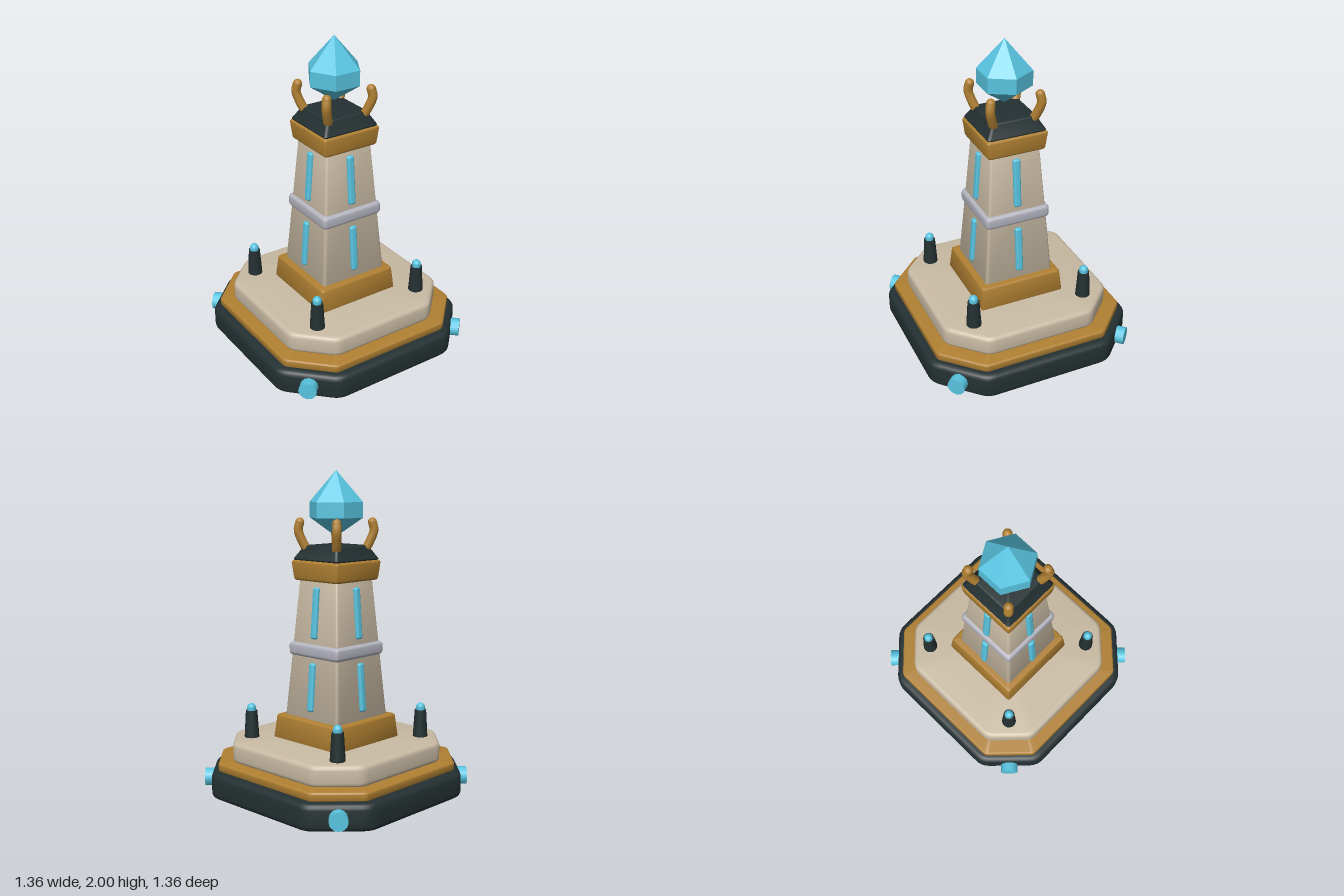
import * as THREE from 'three';
import { toCreasedNormals } from 'three/addons/utils/BufferGeometryUtils.js';
import { RoundedBoxGeometry } from 'three/addons/geometries/RoundedBoxGeometry.js';

const mat = (name, color, side = THREE.FrontSide) =>
  Object.assign(new THREE.MeshStandardMaterial({ color, side }), { name });

// Square (chamfer 0) or octagonal outline with softened corners
function outline(half, chamfer, soft) {
  const f = half - chamfer;
  const quarter = chamfer > 0 ? [[half, f], [f, half]] : [[half, half]];
  const corners = [];
  for (let q = 0; q < 4; q++) {
    for (const [x, z] of quarter) {
      corners.push([new THREE.Vector2(x, z), new THREE.Vector2(-z, x),
        new THREE.Vector2(-x, -z), new THREE.Vector2(z, -x)][q]);
    }
  }
  const n = corners.length, pts = [];
  corners.forEach((p, i) => {
    const toward = (o) => o.clone().sub(p).setLength(soft).add(p);
    const curve = new THREE.QuadraticBezierCurve(
      toward(corners[(i + n - 1) % n]), p, toward(corners[(i + 1) % n]));
    pts.push(...curve.getPoints(4));
  });
  return pts;
}

// Tier lofted from bottom to top with rounded upper and lower edges
function tier({ bottom, top = bottom, y0, y1, round, chamfer = 0, soft = 0.02, open = false }) {
  const layers = [], steps = 4;
  for (let k = 0; k <= steps; k++) {
    const a = (k / steps) * Math.PI / 2;
    layers.push([bottom, round * (1 - Math.sin(a)), y0 + round * (1 - Math.cos(a))]);
  }
  for (let k = 0; k <= steps; k++) {
    const a = (k / steps) * Math.PI / 2;
    layers.push([top, round * (1 - Math.cos(a)), y1 - round * (1 - Math.sin(a))]);
  }
  const pos = [], idx = [];
  let n = 0;
  for (const [half, inset, y] of layers) {
    const c = chamfer > 0 ? chamfer - inset * 0.586 : 0;
    const ring = outline(half - inset, c, soft);
    n = ring.length;
    for (const p of ring) pos.push(p.x, y, p.y);
  }
  const last = (layers.length - 1) * n, low = layers.length * n, high = low + 1;
  pos.push(0, y0, 0, 0, y1, 0);
  for (let i = 0; i < n; i++) {
    const j = (i + 1) % n;
    for (let l = 0; l < last; l += n) {
      idx.push(l + i, l + n + i, l + j, l + j, l + n + i, l + n + j);
    }
    idx.push(high, last + j, last + i);
    if (!open) idx.push(low, i, j);
  }
  const g = new THREE.BufferGeometry();
  g.setAttribute('position', new THREE.Float32BufferAttribute(pos, 3));
  g.setIndex(idx);
  return toCreasedNormals(g, 0.7);
}

export function createModel() {
  const dark = mat('darkMetal', 0x243032, THREE.DoubleSide);
  const gold = mat('bronze', 0xb08032);
  const stone = mat('stone', 0xc9bba4);
  const silver = mat('silver', 0xb4b4c0);
  const glow = mat('blueCrystal', 0x58c4e0);

  const model = new THREE.Group();
  model.name = 'crystalTower';
  const add = (name, geometry, material, parent = model) => {
    const m = new THREE.Mesh(geometry, material);
    m.name = name;
    parent.add(m);
    return m;
  };

  // Stepped platform; the lowest tier is a hollow shell
  add('base', tier({ bottom: 0.68, y0: 0, y1: 0.165, round: 0.035, chamfer: 0.27, soft: 0.05, open: true }), dark);
  add('baseTrim', tier({ bottom: 0.63, y0: 0.166, y1: 0.22, round: 0.012, chamfer: 0.23 }), gold);
  add('platform', tier({ bottom: 0.557, y0: 0.215, y1: 0.345, round: 0.028, chamfer: 0.21, soft: 0.04 }), stone);

  // Tower
  add('towerFoot', tier({ bottom: 0.278, top: 0.265, y0: 0.335, y1: 0.492, round: 0.014, soft: 0.015 }), gold);
  add('towerShaft', tier({ bottom: 0.226, top: 0.16, y0: 0.48, y1: 1.35, round: 0.005, soft: 0.02 }), stone);
  add('towerBand', tier({ bottom: 0.21, y0: 0.87, y1: 0.955, round: 0.022, soft: 0.025 }), silver);
  add('collar', tier({ bottom: 0.186, top: 0.196, y0: 1.335, y1: 1.46, round: 0.016, soft: 0.015 }), gold);
  add('towerCap', tier({ bottom: 0.188, top: 0.148, y0: 1.455, y1: 1.548, round: 0.012, soft: 0.02 }), dark);

  // Light strips leaning with the shaft on all four faces
  const slope = (0.226 - 0.16) / 0.87;
  for (let k = 0; k < 4; k++) {
    const face = new THREE.Group();
    face.name = 'lightStrips';
    face.rotation.y = k * Math.PI / 2;
    model.add(face);
    for (const [y, h] of [[0.692, 0.3], [1.145, 0.315]]) {
      const strip = add('lightStrip', new RoundedBoxGeometry(0.046, h, 0.036, 3, 0.014), glow, face);
      strip.position.set(0, y, 0.226 - (y - 0.48) * slope + 0.003);
      strip.rotation.x = -Math.atan(slope);
    }
  }

  // Corner parts: claws, pylons and base lamps
  const clawPath = new THREE.CatmullRomCurve3(
    [[0.122, 1.51], [0.145, 1.57], [0.163, 1.64], [0.156, 1.688]].map(([d, y]) => new THREE.Vector3(d, y, d)));
  const clawGeo = new THREE.TubeGeometry(clawPath, 14, 0.028, 12);
  const tipGeo = new THREE.SphereGeometry(0.028, 12, 8);
  const postGeo = new THREE.CylinderGeometry(0.036, 0.047, 0.18, 16);
  const bulbGeo = new THREE.SphereGeometry(0.028, 14, 10);
  const stemGeo = new THREE.CylinderGeometry(0.028, 0.028, 0.03, 14);
  const lampGeo = new THREE.CylinderGeometry(0.056, 0.056, 0.11, 12).rotateX(Math.PI / 2);
  for (let k = 0; k < 4; k++) {
    const corner = new THREE.Group();
    corner.name = 'cornerParts';
    corner.rotation.y = k * Math.PI / 2;
    model.add(corner);
    add('claw', clawGeo, gold, corner);
    add('clawTip', tipGeo, gold, corner).position.set(0.156, 1.688, 0.156);
    add('pylon', postGeo, dark, corner).position.set(0.375, 0.425, 0.375);
    add('pylonStem', stemGeo, glow, corner).position.set(0.375, 0.518, 0.375);
    add('pylonLight', bulbGeo, glow, corner).position.set(0.375, 0.531, 0.375);
    const lamp = add('baseLamp', lampGeo, glow, corner);
    lamp.position.set(0.545, 0.085, 0.545);
    lamp.rotation.y = Math.PI / 4;
  }

  // Faceted six-sided crystal
  const profile = [[0, 1.6], [0.167, 1.715], [0.167, 1.81], [0, 2]].map(([r, y]) => new THREE.Vector2(r, y));
  const crystal = new THREE.LatheGeometry(profile, 6).rotateY(Math.PI / 6).toNonIndexed();
  crystal.computeVertexNormals();
  add('crystal', crystal, glow);

  return model;
}
